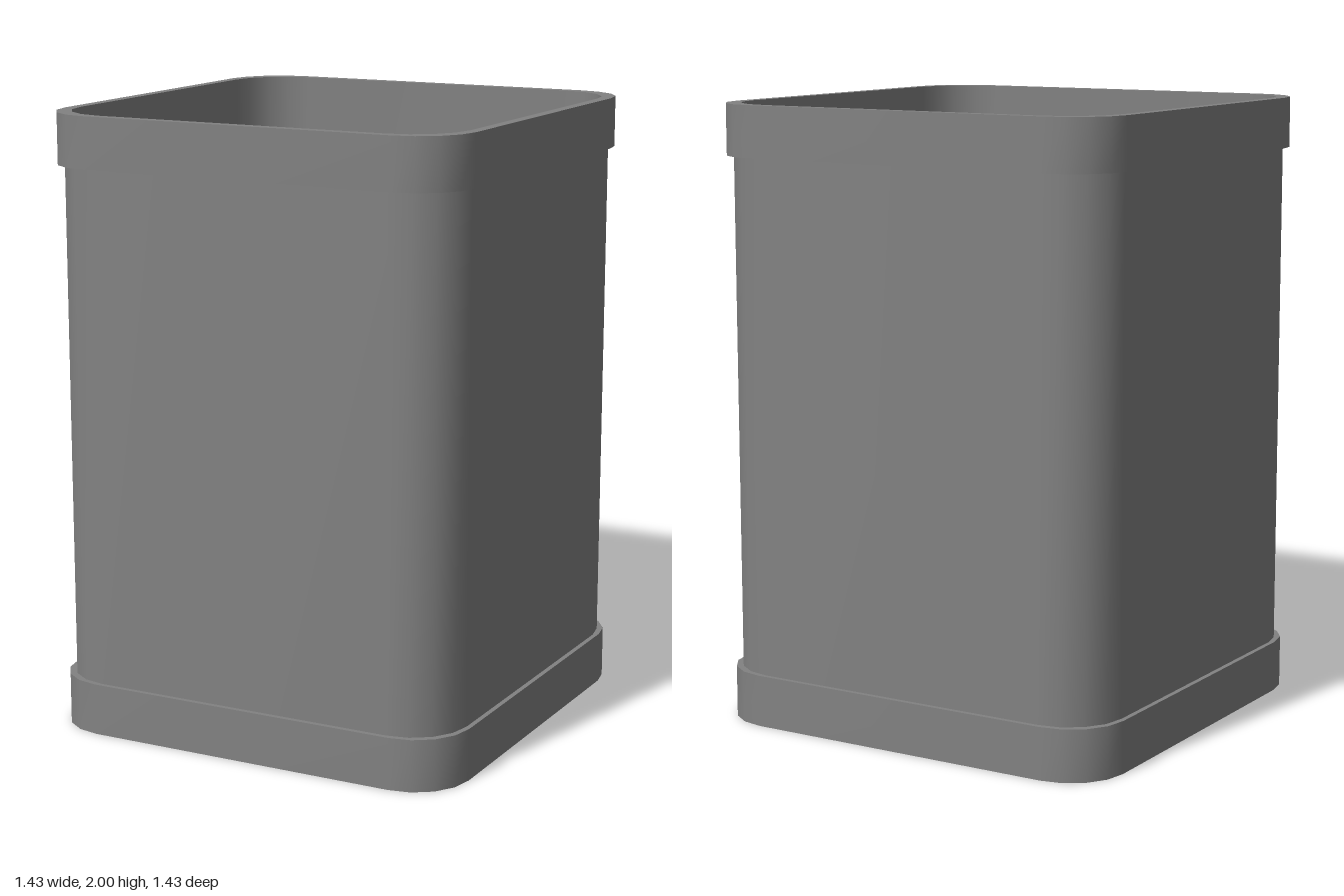
import * as THREE from 'three';
import { toCreasedNormals } from 'three/addons/utils/BufferGeometryUtils.js';

const material = new THREE.MeshStandardMaterial({ color: 0x828282 });
const CORNER = 0.185, STEPS = 4;

// Outline of a rounded square with half-width h at height y
function ring([h, y]) {
  const r = Math.min(CORNER, h), points = [];
  for (let q = 0; q < 4; q++) {
    const sx = q === 0 || q === 3 ? 1 : -1, sz = q < 2 ? 1 : -1;
    for (let i = 0; i <= STEPS; i++) {
      const a = (q + i / STEPS) * Math.PI / 2;
      points.push([sx * (h - r) + r * Math.cos(a), y, sz * (h - r) + r * Math.sin(a)]);
    }
  }
  return points;
}

// Skin over a [half-width, height] profile; half-width 0 closes it at the centre
function loft(name, profile) {
  const rings = profile.map(ring), positions = [];
  for (let i = 0; i + 1 < rings.length; i++) {
    const low = rings[i], high = rings[i + 1], n = low.length;
    for (let k = 0; k < n; k++) {
      const a = low[k], b = low[(k + 1) % n], c = high[k], d = high[(k + 1) % n];
      if (profile[i][0] > 0) positions.push(...a, ...c, ...b);
      if (profile[i + 1][0] > 0) positions.push(...b, ...c, ...d);
    }
  }
  const geometry = new THREE.BufferGeometry();
  geometry.setAttribute('position', new THREE.Float32BufferAttribute(positions, 3));
  const mesh = new THREE.Mesh(toCreasedNormals(geometry, 0.6), material);
  mesh.name = name;
  return mesh;
}

export function createModel() {
  const group = new THREE.Group();
  group.name = 'squareContainer';
  const band = 0.713, body = 0.697, inner = 0.678;
  const lowEdge = 0.168, highEdge = 1.835, floor = 0.035;
  group.add(
    // Closed base with its raised band
    loft('baseBand', [[0, 0], [band, 0], [band, lowEdge], [body, lowEdge]]),
    // Outer wall between the bands
    loft('outerWall', [[body, lowEdge], [body, highEdge]]),
    // Raised band and flat lip around the opening
    loft('topRim', [[body, highEdge], [band, highEdge], [band, 2], [inner, 2]]),
    // Inside wall and floor
    loft('innerLining', [[inner, 2], [inner, floor], [0, floor]])
  );
  return group;
}
